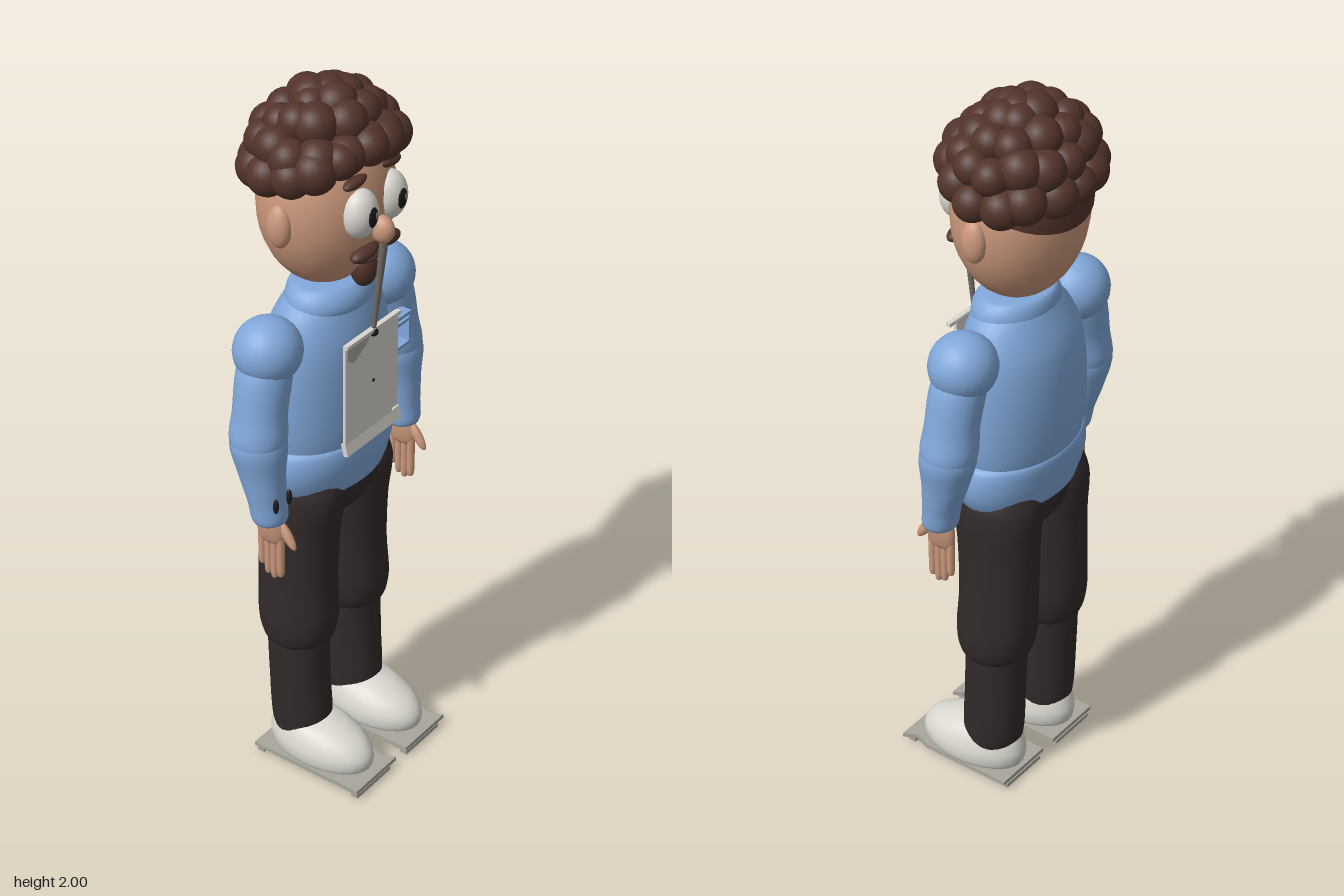
import * as THREE from 'three';

const mat = (name, color, side = THREE.FrontSide) => {
  const m = new THREE.MeshStandardMaterial({ color, side });
  m.name = name;
  return m;
};

export function createModel() {
  const root = new THREE.Group();
  root.name = 'standingMan';
  const skin = mat('skin', 0xcb987c), hair = mat('darkBrownHair', 0x52342a);
  const blue = mat('blueSweater', 0x80a7d9), dark = mat('darkTrousers', 0x322a2a);
  const white = mat('offWhite', 0xdad8d0, THREE.DoubleSide), black = mat('blackPupil', 0x1c1a1b);
  const grey = mat('soleGrey', 0xa9a69d, THREE.DoubleSide), cord = mat('cordGrey', 0x6f6a63);

  const add = (name, geo, material, parent = root) => {
    const m = new THREE.Mesh(geo, material);
    m.name = name;
    parent.add(m);
    return m;
  };
  const group = (name) => {
    const g = new THREE.Group();
    g.name = name;
    root.add(g);
    return g;
  };
  // Ellipsoid at p with radii r, turned about z
  const ball = (name, p, r, material, parent = root, rotZ = 0) => {
    const m = add(name, new THREE.SphereGeometry(1, 28, 20), material, parent);
    m.position.set(...p);
    m.scale.set(...r);
    m.rotation.z = rotZ;
    return m;
  };
  const box = (name, p, s, material, parent = root) => {
    const m = add(name, new THREE.BoxGeometry(...s), material, parent);
    m.position.set(...p);
    return m;
  };
  // Smooth body through level rings [x, y, z, radiusX, radiusZ], bottom to top
  const loft = (rows, seg = 32, steps = 5) => {
    const centre = new THREE.CatmullRomCurve3(rows.map((r) => new THREE.Vector3(r[0], r[1], r[2])));
    const radii = new THREE.CatmullRomCurve3(rows.map((r) => new THREE.Vector3(r[3], r[1], r[4])));
    const n = (rows.length - 1) * steps, pos = [], idx = [];
    for (let i = 0; i <= n; i++) {
      const c = centre.getPoint(i / n), r = radii.getPoint(i / n);
      for (let j = 0; j < seg; j++) {
        const a = (j / seg) * Math.PI * 2;
        pos.push(c.x + Math.max(r.x, 0.001) * Math.cos(a), c.y, c.z + Math.max(r.z, 0.001) * Math.sin(a));
        if (i === n) continue;
        const p = i * seg + j, q = i * seg + ((j + 1) % seg);
        idx.push(p, p + seg, q, q, p + seg, q + seg);
      }
    }
    const g = new THREE.BufferGeometry();
    g.setAttribute('position', new THREE.Float32BufferAttribute(pos, 3));
    g.setIndex(idx);
    g.computeVertexNormals();
    return g;
  };

  // Head and face
  const head = group('head');
  ball('skull', [0, 1.69, -0.03], [0.19, 0.235, 0.165], skin, head);
  ball('nose', [0, 1.642, 0.14], [0.026, 0.037, 0.033], skin, head);
  ball('lowerLipHair', [0, 1.555, 0.1], [0.045, 0.012, 0.024], hair, head);
  ball('goatee', [0, 1.518, 0.085], [0.036, 0.052, 0.034], hair, head);
  for (const s of [-1, 1]) {
    ball('ear', [s * 0.188, 1.675, -0.03], [0.026, 0.057, 0.034], skin, head);
    ball('eyeWhite', [s * 0.06, 1.705, 0.115], [0.051, 0.065, 0.045], white, head);
    ball('pupil', [s * 0.06, 1.705, 0.14], [0.027, 0.037, 0.023], black, head);
    ball('eyeGlint', [s * 0.06 + 0.006, 1.708, 0.157], [0.007, 0.012, 0.008], cord, head);
    ball('eyebrow', [s * 0.07, 1.79, 0.108], [0.042, 0.014, 0.018], hair, head, s * -0.08);
    ball('moustache', [s * 0.045, 1.592, 0.12], [0.05, 0.019, 0.024], hair, head, s * -0.1);
  }

  // Hair: a tilted close cap under rows of round curls
  const hairGroup = group('hair');
  const cap = new THREE.SphereGeometry(1, 36, 18, 0, Math.PI * 2, 0, 1.23);
  cap.rotateX(-0.33);
  cap.scale(0.197, 0.242, 0.172);
  add('hairCap', cap, hair, hairGroup).position.set(0, 1.69, -0.03);
  let seed = 7;
  const rand = () => (seed = (seed * 16807) % 2147483647) / 2147483647 - 0.5;
  const curlGeo = new THREE.SphereGeometry(1, 20, 14);
  [[2, 15], [28, 14], [53, 10], [75, 5], [90, 1]].forEach(([deg, count], row) => {
    for (let k = 0; k < count; k++) {
      const e = THREE.MathUtils.degToRad(deg + rand() * 9);
      const a = ((k + row * 0.5 + rand() * 0.35) / count) * Math.PI * 2;
      const lift = row === 0 ? 0.065 * Math.max(0, Math.sin(a)) : 0;
      const curl = add('curl', curlGeo, hair, hairGroup);
      curl.position.set(0.188 * Math.cos(e) * Math.cos(a),
        1.785 + lift + 0.16 * Math.sin(e), -0.035 + 0.142 * Math.cos(e) * Math.sin(a));
      curl.scale.setScalar(0.052 + rand() * 0.012);
    }
  });

  // Sweater
  const sweater = group('sweater');
  add('torso', loft([[0, 0.98, -0.03, 0.18, 0.115], [0, 1.03, -0.033, 0.2, 0.132], [0, 1.18, -0.035, 0.207, 0.14],
    [0, 1.32, -0.032, 0.192, 0.13], [0, 1.4, -0.026, 0.155, 0.105], [0, 1.45, -0.022, 0.1, 0.08],
    [0, 1.46, -0.022, 0, 0]]), blue, sweater);
  add('waistband', loft([[0, 0.88, -0.03, 0, 0], [0, 0.885, -0.03, 0.185, 0.118], [0, 0.93, -0.03, 0.217, 0.13],
    [0, 0.98, -0.03, 0.223, 0.136], [0, 1.02, -0.032, 0.212, 0.134], [0, 1.035, -0.033, 0.19, 0.12]]), blue, sweater);
  add('collar', loft([[0, 1.385, -0.018, 0.115, 0.085], [0, 1.41, -0.018, 0.136, 0.1], [0, 1.44, -0.02, 0.13, 0.098],
    [0, 1.465, -0.024, 0.105, 0.082], [0, 1.47, -0.024, 0.02, 0.02]]), blue, sweater);

  // Chest pocket outline
  const pocket = group('chestPocket');
  for (const y of [1.225, 1.295, 1.312]) box('pocketEdge', [0.14, y, 0.092], [0.072, 0.009, 0.03], blue, pocket);
  for (const x of [0.108, 0.172]) box('pocketSide', [x, 1.268, 0.088], [0.008, 0.09, 0.036], blue, pocket);

  // Paper badge with folded corner and lips, hung on a cord
  const badge = group('badge');
  box('badgeSheet', [-0.016, 1.2, 0.112], [0.2, 0.305, 0.008], white, badge);
  box('badgeSideStrip', [0.1, 1.18, 0.106], [0.032, 0.3, 0.006], white, badge);
  box('badgeTopLip', [-0.005, 1.35, 0.116], [0.225, 0.01, 0.014], white, badge);
  box('badgeBottomLip', [0, 1.045, 0.113], [0.232, 0.035, 0.014], white, badge).rotation.x = -0.25;
  const fold = new THREE.Shape([[-0.115, 1.35], [-0.115, 1.315], [-0.09, 1.295], [-0.03, 1.33], [-0.02, 1.35]]
    .map((p) => new THREE.Vector2(...p)));
  add('foldedCorner', new THREE.ShapeGeometry(fold), grey, badge).position.z = 0.122;
  ball('badgeStud', [0, 1.2, 0.117], [0.005, 0.005, 0.004], black, badge);
  ball('cordKnot', [0, 1.342, 0.117], [0.012, 0.012, 0.012], black, badge);
  const cordMesh = add('cord', new THREE.CylinderGeometry(0.011, 0.006, 0.275, 12), cord, badge);
  cordMesh.position.set(0, 1.475, 0.13);
  cordMesh.rotation.x = 0.11;

  // Arms and hands
  for (const s of [-1, 1]) {
    const arm = group(s > 0 ? 'leftArm' : 'rightArm');
    ball('shoulder', [s * 0.237, 1.352, -0.032], [0.09, 0.088, 0.088], blue, arm);
    add('upperArm', loft([[s * 0.29, 1.07, -0.025, 0.05, 0.05], [s * 0.29, 1.12, -0.025, 0.073, 0.073],
      [s * 0.278, 1.2, -0.027, 0.07, 0.07], [s * 0.255, 1.3, -0.03, 0.074, 0.07],
      [s * 0.24, 1.36, -0.032, 0.06, 0.06]]), blue, arm);
    add('forearm', loft([[s * 0.288, 0.885, 0.008, 0, 0], [s * 0.288, 0.89, 0.008, 0.045, 0.042],
      [s * 0.29, 0.95, 0, 0.052, 0.049], [s * 0.292, 1.03, -0.014, 0.06, 0.062],
      [s * 0.291, 1.12, -0.024, 0.073, 0.073], [s * 0.29, 1.16, -0.025, 0.05, 0.05]]), blue, arm);
    add('palm', loft([[s * 0.285, 0.815, 0.008, 0.008, 0.028], [s * 0.285, 0.83, 0.008, 0.017, 0.038],
      [s * 0.286, 0.865, 0.008, 0.024, 0.042], [s * 0.287, 0.9, 0.008, 0.026, 0.034]], 20), skin, arm);
    [0.715, 0.705, 0.712, 0.735].forEach((tip, i) => {
      const z = 0.037 - i * 0.0195;
      add('finger', loft([[s * 0.285, tip, z, 0, 0], [s * 0.285, tip + 0.006, z, 0.008, 0.008],
        [s * 0.285, 0.78, z, 0.011, 0.0105], [s * 0.285, 0.84, z, 0.011, 0.011]], 12), skin, arm);
    });
    const thumb = ball('thumb', [s * 0.284, 0.856, 0.058], [0.012, 0.045, 0.014], skin, arm);
    thumb.rotation.x = -0.6;
  }
  // Small dark cuff studs on the right sleeve
  for (const x of [-0.312, -0.258]) ball('cuffStud', [x, 0.955, 0.045], [0.008, 0.022, 0.008], black);

  // Trousers
  const trousers = group('trousers');
  ball('pelvis', [0, 0.885, -0.03], [0.185, 0.125, 0.122], dark, trousers);
  for (const s of [-1, 1]) {
    add('thigh', loft([[s * 0.114, 0.39, -0.035, 0.05, 0.055], [s * 0.114, 0.405, -0.036, 0.088, 0.09],
      [s * 0.113, 0.46, -0.038, 0.104, 0.107], [s * 0.109, 0.6, -0.043, 0.1, 0.108],
      [s * 0.105, 0.75, -0.04, 0.101, 0.112], [s * 0.103, 0.88, -0.035, 0.102, 0.122],
      [s * 0.1, 0.94, -0.033, 0.085, 0.1]]), dark, trousers);
    add('lowerLeg', loft([[s * 0.115, 0.09, -0.028, 0.07, 0.07], [s * 0.115, 0.12, -0.028, 0.077, 0.082],
      [s * 0.116, 0.28, -0.035, 0.081, 0.083], [s * 0.115, 0.44, -0.04, 0.084, 0.083]]), dark, trousers);
  }

  // Shoes on flat soles with a flared corner and a hollow tray beneath
  const outline = new THREE.Shape([[-0.092, 0.125], [-0.092, -0.223], [0.088, -0.223], [0.07, -0.185],
    [0.086, -0.14], [0.086, 0.125]].map((p) => new THREE.Vector2(...p)));
  for (const s of [-1, 1]) {
    const shoe = group(s > 0 ? 'leftShoe' : 'rightShoe');
    shoe.position.x = s * 0.113;
    add('shoeUpper', loft([[0, 0.02, 0.04, 0.06, 0.13], [0, 0.035, 0.04, 0.088, 0.154], [0, 0.07, 0.037, 0.094, 0.16],
      [0, 0.105, 0.027, 0.086, 0.143], [0, 0.135, 0.005, 0.068, 0.106], [0, 0.15, -0.005, 0.035, 0.06],
      [0, 0.152, -0.005, 0, 0]]), white, shoe);
    const sole = add('sole', new THREE.ExtrudeGeometry(outline, { depth: 0.012, bevelEnabled: false }), grey, shoe);
    sole.rotation.x = -Math.PI / 2;
    sole.position.y = 0.02;
    box('soleTray', [-0.008, 0.014, 0.045], [0.145, 0.014, 0.29], grey, shoe);
    box('toeLip', [-0.008, 0.006, 0.208], [0.15, 0.012, 0.022], grey, shoe);
    box('heelLip', [-0.008, 0.006, -0.112], [0.15, 0.012, 0.022], grey, shoe);
  }
  return root;
}
